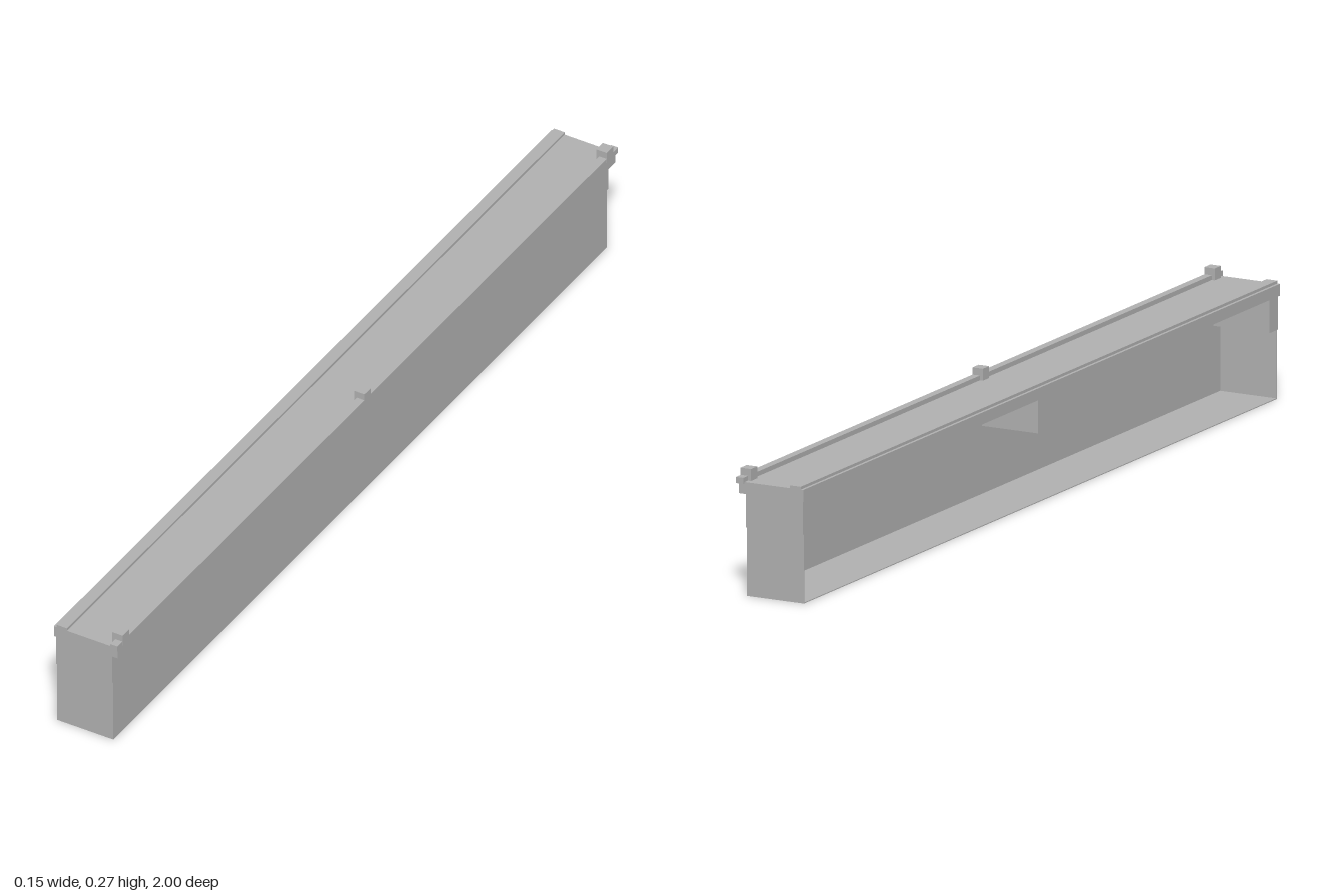
import * as THREE from 'three';

export function createModel() {
  const model = new THREE.Group();
  const grey = new THREE.MeshStandardMaterial({ color: 0xb0b0b0 });
  grey.name = 'plain grey';

  // Box given by its limits on each axis
  function block(name, [x0, x1], [y0, y1], [z0, z1]) {
    const mesh = new THREE.Mesh(new THREE.BoxGeometry(x1 - x0, y1 - y0, z1 - z0), grey);
    mesh.position.set((x0 + x1) / 2, (y0 + y1) / 2, (z0 + z1) / 2);
    mesh.name = name;
    model.add(mesh);
  }

  const depth = [-0.075, 0.058];
  const t = 0.002;   // sheet thickness
  const end = 0.986; // half length of the trough

  // Thin trough, open along the -x side
  block('floor', depth, [0, t], [-end, end]);
  block('longWall', [depth[1] - t, depth[1]], [0, 0.217], [-end, end]);
  block('frontEndWall', depth, [0, 0.217], [end - t, end]);
  block('backEndWall', depth, [0, 0.217], [-end, -end + t]);

  // Brackets under the top
  block('frontBracket', depth, [0.145, 0.217], [0.955, 0.991]);
  block('middleBracket', depth, [0.145, 0.217], [-0.01, 0.026]);
  block('backBracket', depth, [0.145, 0.217], [-0.991, -0.955]);

  // Top slab with a raised strip on one edge and a longer rail on the other
  block('topSlab', [-0.078, 0.073], [0.216, 0.241], [-0.994, 0.994]);
  block('edgeStrip', [-0.072, -0.047], [0.24, 0.247], [-0.994, 0.994]);
  block('rail', [0.059, 0.076], [0.238, 0.251], [-1, 1]);

  // Small clips over the rail
  for (const z of [-0.967, 0, 0.967]) {
    block('clip', [0.052, 0.0765], [0.241, 0.266], [z - 0.013, z + 0.013]);
  }
  return model;
}
